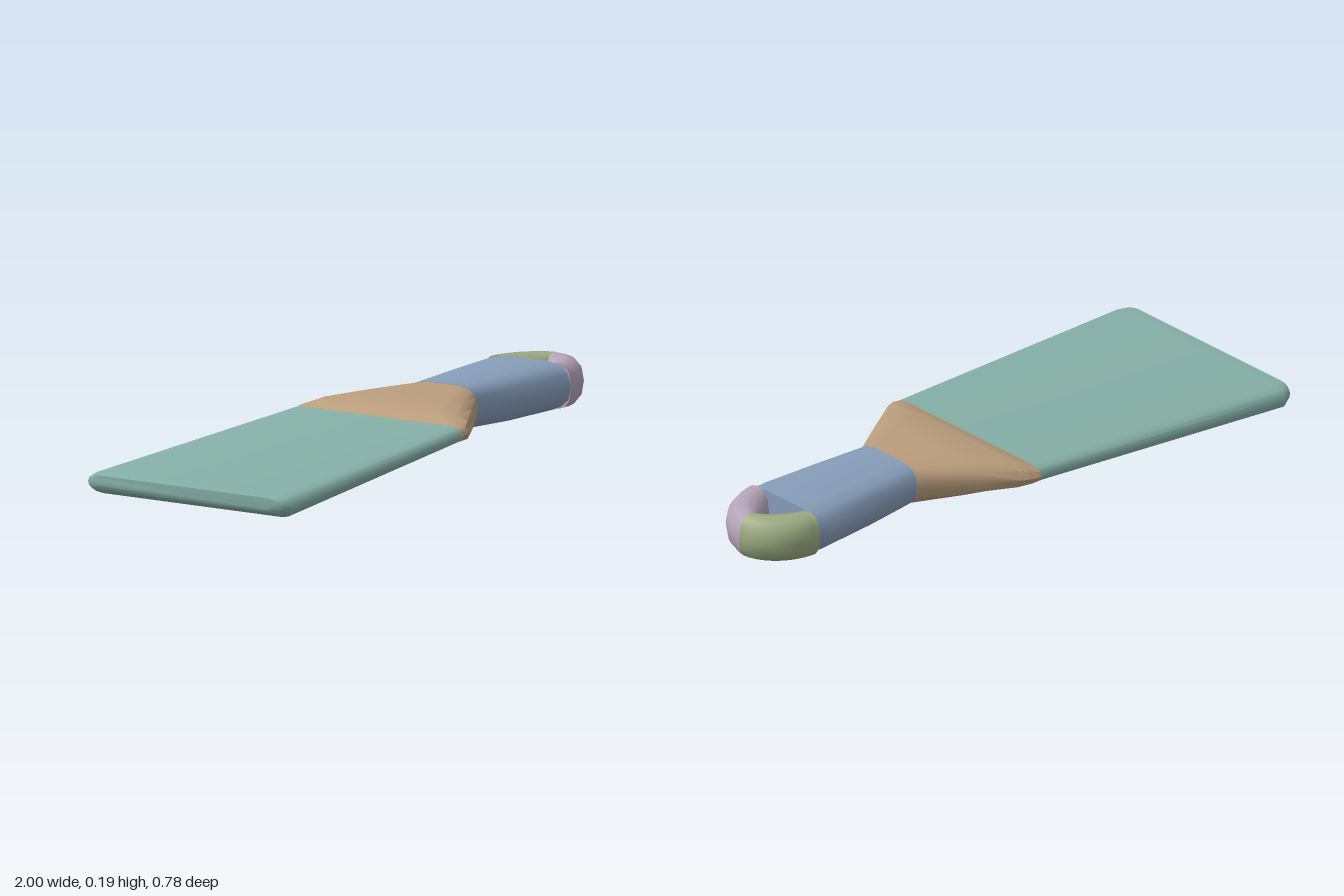
import * as THREE from 'three';
import { toCreasedNormals } from 'three/addons/utils/BufferGeometryUtils.js';

const mat = (name, color) => new THREE.MeshStandardMaterial({ name, color });

const STEPS = 6; // segments of each rounded side

// Closed loop: flat top and bottom, rounded sides of depth b.
// c = centre, u = width direction, w / h = half width / half height
function section(c, u, w, h, b) {
  const pts = [];
  const soft = (v) => Math.sign(v) * Math.abs(v) ** 0.85;
  for (const side of [1, -1]) {
    for (let i = 0; i <= STEPS; i++) {
      const t = -Math.PI / 2 + (Math.PI * i) / STEPS;
      const across = side * (w - b + b * soft(Math.max(0, Math.cos(t))));
      const up = side * h * soft(Math.sin(t));
      pts.push(c.clone().addScaledVector(u, across).add(new THREE.Vector3(0, up, 0)));
    }
  }
  return pts;
}

// Section across the x axis from its bottom and top heights
const Z = new THREE.Vector3(0, 0, 1);
const across = ([x, y0, y1, w, b]) =>
  section(new THREE.Vector3(x, (y0 + y1) / 2, 0), Z, w, (y1 - y0) / 2, b);

// Skin the loops and cap both ends
function loft(name, loops, material) {
  const pos = [];
  const tri = (...p) => p.forEach((v) => pos.push(v.x, v.y, v.z));
  const n = loops[0].length;
  for (let i = 0; i < loops.length - 1; i++) {
    const A = loops[i], B = loops[i + 1];
    for (let j = 0; j < n; j++) {
      const k = (j + 1) % n;
      tri(A[j], B[j], A[k]);
      tri(A[k], B[j], B[k]);
    }
  }
  const first = loops[0], last = loops[loops.length - 1];
  for (let j = 1; j < n - 1; j++) {
    tri(first[0], first[j], first[j + 1]);
    tri(last[0], last[j + 1], last[j]);
  }
  const geo = new THREE.BufferGeometry();
  geo.setAttribute('position', new THREE.Float32BufferAttribute(pos, 3));
  const mesh = new THREE.Mesh(toCreasedNormals(geo, 0.75), material);
  mesh.name = name;
  return mesh;
}

// One half of the hanging loop, from the handle end round to the middle
function loopHalf(name, side, material) {
  const loops = [];
  const N = 12;
  for (let i = 0; i <= N; i++) {
    const t = side > 0 ? i / N : 1 - i / N;
    const a = (t * Math.PI) / 2;
    const outer = new THREE.Vector3(0.81 + 0.19 * Math.sin(a), 0.118, side * 0.166 * Math.cos(a));
    const inner = new THREE.Vector3(0.81 + 0.095 * t, 0.118, side * 0.065 * (1 - t));
    const u = outer.clone().sub(inner);
    const w = u.length() / 2;
    loops.push(section(outer.add(inner).multiplyScalar(0.5), u.normalize(), w, 0.073, w));
  }
  return loft(name, loops, material);
}

export function createModel() {
  const group = new THREE.Group();
  group.name = 'scraper';

  // Sections: x, bottom, top, half width, side rounding
  const blade = [
    [-1, 0.03, 0.064, 0.35, 0.03],
    [-0.99, 0.016, 0.065, 0.372, 0.04],
    [-0.955, 0, 0.067, 0.388, 0.05],
    [0.022, 0.08, 0.13, 0.325, 0.04],
  ];
  const ferrule = [
    [0.02, 0.08, 0.13, 0.328, 0.06],
    [0.05, 0.07, 0.145, 0.325, 0.1],
    [0.09, 0.058, 0.16, 0.308, 0.13],
    [0.22, 0.05, 0.171, 0.226, 0.1],
    [0.365, 0.045, 0.18, 0.133, 0.07],
  ];
  const handle = [
    [0.365, 0.044, 0.181, 0.132, 0.07],
    [0.55, 0.039, 0.187, 0.149, 0.08],
    [0.77, 0.042, 0.191, 0.168, 0.09],
    [0.812, 0.045, 0.191, 0.166, 0.09],
  ];

  group.add(
    loft('blade', blade.map(across), mat('sea green', 0x86b0a7)),
    loft('ferrule', ferrule.map(across), mat('tan', 0xba9d7d)),
    loft('handle', handle.map(across), mat('steel blue', 0x879db9)),
    loopHalf('leftLoopHalf', 1, mat('mauve', 0xb5a4b8)),
    loopHalf('rightLoopHalf', -1, mat('olive', 0x9dab82)),
  );
  return group;
}
